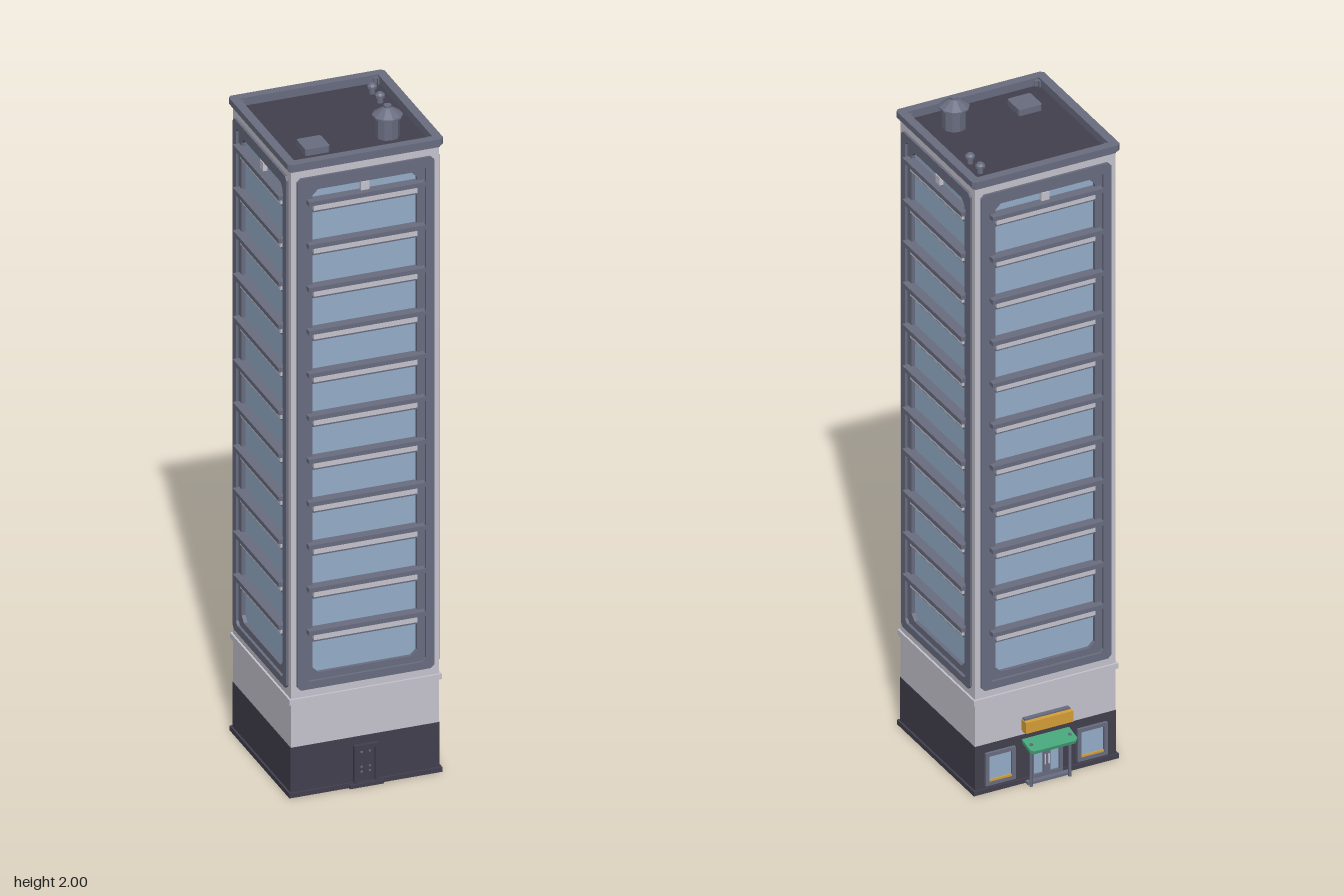
import * as THREE from 'three';

const mat = (name, color) => {
  const m = new THREE.MeshStandardMaterial({ color });
  m.name = name;
  return m;
};

export function createModel() {
  const pale = mat('pale stone', 0xc6c4cf);
  const slate = mat('slate trim', 0x696d80);
  const dark = mat('dark stone', 0x42404e);
  const glass = mat('window glass', 0x96afca);
  const green = mat('green awning', 0x46a47a);
  const gold = mat('gold sign', 0xd8a038);

  const model = new THREE.Group();
  model.name = 'tower';
  const tower = new THREE.Group();
  tower.name = 'building';
  tower.position.z = 0.019;
  model.add(tower);

  const add = (parent, name, geo, material, x = 0, y = 0, z = 0) => {
    const m = new THREE.Mesh(geo, material);
    m.name = name;
    m.position.set(x, y, z);
    parent.add(m);
    return m;
  };
  // Box given by its centre x, and its y and z ranges
  const box = (parent, name, material, x, w, y0, y1, z0, z1) =>
    add(parent, name, new THREE.BoxGeometry(w, y1 - y0, z1 - z0), material, x, (y0 + y1) / 2, (z0 + z1) / 2);
  const slab = (name, material, half, y0, y1) => box(tower, name, material, 0, half * 2, y0, y1, -half, half);

  // Rectangle with cut corners
  const outline = (Type, w, y0, y1, c) => {
    const pts = [[-w + c, y0], [w - c, y0], [w, y0 + c], [w, y1 - c], [w - c, y1], [-w + c, y1], [-w, y1 - c], [-w, y0 + c]];
    return new Type(pts.map(([x, y]) => new THREE.Vector2(x, y)));
  };
  const frameGeo = (outer, inner, depth) => {
    const s = outline(THREE.Shape, ...outer);
    s.holes.push(outline(THREE.Path, ...inner));
    return new THREE.ExtrudeGeometry(s, { depth, bevelEnabled: false });
  };

  // Main masses
  slab('base', dark, 0.218, 0, 0.15);
  slab('plinth', dark, 0.224, 0, 0.014);
  slab('lowerBelt', pale, 0.217, 0.15, 0.33);
  slab('beltMoulding', pale, 0.223, 0.282, 0.298);
  slab('core', slate, 0.2, 0.33, 1.87);
  slab('upperBelt', pale, 0.217, 1.87, 1.904);
  for (const x of [-1, 1]) for (const z of [-1, 1])
    add(tower, 'cornerPost', new THREE.BoxGeometry(0.024, 1.54, 0.024), pale, x * 0.205, 1.1, z * 0.205);

  // Four identical window walls
  const rimGeo = frameGeo([0.2, 0.322, 1.88, 0.01], [0.176, 0.345, 1.857, 0.01], 0.026);
  const innerGeo = frameGeo([0.178, 0.343, 1.859, 0.004], [0.153, 0.365, 1.837, 0.016], 0.018);
  for (let side = 0; side < 4; side++) {
    const wall = new THREE.Group();
    wall.name = 'windowWall';
    wall.rotation.y = side * Math.PI / 2;
    tower.add(wall);
    add(wall, 'outerFrame', rimGeo, slate, 0, 0, 0.198);
    add(wall, 'innerFrame', innerGeo, slate, 0, 0, 0.198);
    box(wall, 'glass', glass, 0, 0.31, 0.36, 1.842, 0.198, 0.205);
    box(wall, 'topLamp', pale, 0, 0.024, 1.81, 1.836, 0.2, 0.218);
    for (let i = 0; i < 11; i++) {
      const y = 0.494 + i * 0.1308;
      box(wall, 'ledge', slate, 0, 0.342, y - 0.004, y + 0.009, 0.2, 0.235);
      box(wall, 'floorBand', pale, 0, 0.304, y - 0.026, y - 0.004, 0.2, 0.222);
      box(wall, 'lowerLip', slate, 0, 0.304, y - 0.033, y - 0.026, 0.2, 0.217);
    }
  }

  // Parapet and roof
  const cap = add(tower, 'parapet', frameGeo([0.228, -0.228, 0.228, 0.009], [0.202, -0.202, 0.202, 0], 0.018), slate, 0, 1.912, 0);
  cap.rotation.x = -Math.PI / 2;
  const neck = add(tower, 'parapetNeck', frameGeo([0.221, -0.221, 0.221, 0.006], [0.202, -0.202, 0.202, 0], 0.01), slate, 0, 1.903, 0);
  neck.rotation.x = -Math.PI / 2;
  slab('roof', dark, 0.204, 1.9, 1.906);
  for (const x of [-1, 1]) for (const z of [-1, 1]) {
    add(tower, 'cornerBracket', new THREE.BoxGeometry(0.014, 0.018, 0.005), slate, x * 0.195, 1.915, z * 0.199);
    add(tower, 'cornerBracket', new THREE.BoxGeometry(0.005, 0.018, 0.014), slate, x * 0.199, 1.915, z * 0.195);
  }
  // Rooftop equipment
  const hatch = add(tower, 'roofHatch', new THREE.ExtrudeGeometry(outline(THREE.Shape, 0.036, -0.036, 0.036, 0.005),
    { depth: 0.02, bevelEnabled: false }), slate, -0.11, 1.905, 0.11);
  hatch.rotation.x = -Math.PI / 2;
  const lathe = (name, pts, x, z) => {
    const g = new THREE.LatheGeometry(pts.map(([r, y]) => new THREE.Vector2(r, y)), 10).toNonIndexed();
    g.computeVertexNormals();
    add(tower, name, g, slate, x, 1.905, z);
  };
  lathe('waterTank', [[0.034, 0], [0.034, 0.062], [0.043, 0.062], [0.043, 0.067], [0.011, 0.089], [0.011, 0.095], [0, 0.095]], 0.108, 0.109);
  for (const z of [-0.146, -0.087])
    lathe('ventPipe', [[0.009, 0], [0.009, 0.018], [0.014, 0.018], [0.014, 0.025], [0.008, 0.031], [0, 0.031]], 0.163, z);

  // Service door on the front
  const service = new THREE.Group();
  service.name = 'serviceDoor';
  tower.add(service);
  box(service, 'step', dark, 0, 0.1, 0, 0.011, 0.21, 0.232);
  for (const s of [-1, 1]) {
    box(service, 'jamb', dark, s * 0.031, 0.009, 0.01, 0.124, 0.21, 0.228);
    box(service, 'doorLeaf', dark, s * 0.013, 0.025, 0.01, 0.115, 0.21, 0.221);
    for (const y of [0.04, 0.055, 0.1]) box(service, 'hardware', slate, s * 0.012, 0.006, y, y + 0.005, 0.219, 0.223);
  }
  box(service, 'lintel', dark, 0, 0.071, 0.115, 0.126, 0.21, 0.229);

  // Main entrance on the back
  const entry = new THREE.Group();
  entry.name = 'entrance';
  entry.rotation.y = Math.PI;
  tower.add(entry);
  const paneFrame = (name, x, w, y0, y1) => {
    const f = frameGeo([w / 2, y0, y1, 0], [w / 2 - 0.011, y0 + 0.011, y1 - 0.011, 0], 0.013);
    add(entry, name + 'Frame', f, slate, x, 0, 0.213);
    box(entry, name + 'Glass', glass, x, w - 0.018, y0 + 0.009, y1 - 0.009, 0.214, 0.22);
  };
  for (const s of [-1, 1]) {
    paneFrame('shopWindow', s * 0.142, 0.092, 0.022, 0.124);
    box(entry, 'goldSill', gold, s * 0.142, 0.07, 0.033, 0.039, 0.216, 0.224);
    paneFrame('door', s * 0.025, 0.05, 0.008, 0.116);
    box(entry, 'doorHandle', pale, s * 0.006, 0.004, 0.045, 0.075, 0.22, 0.229);
    add(entry, 'awningPost', new THREE.CylinderGeometry(0.005, 0.005, 0.133, 8), slate, s * 0.06, 0.0665, 0.247);
  }
  box(entry, 'doorStep', slate, 0, 0.13, 0, 0.008, 0.21, 0.24);
  // Sloping awning with cut outer corners
  const awningShape = new THREE.Shape([[-0.073, 0], [0.073, 0], [0.073, 0.052], [0.064, 0.061], [-0.064, 0.061], [-0.073, 0.052]]
    .map(([x, y]) => new THREE.Vector2(x, y)));
  const awning = add(entry, 'awning', new THREE.ExtrudeGeometry(awningShape, { depth: 0.01, bevelEnabled: false }), green, 0, 0.137, 0.215);
  awning.rotation.x = Math.PI / 2 + 0.22;
  box(entry, 'signBacking', slate, 0, 0.14, 0.16, 0.204, 0.21, 0.23);
  box(entry, 'signBoard', gold, 0, 0.146, 0.165, 0.199, 0.212, 0.243);

  return model;
}
